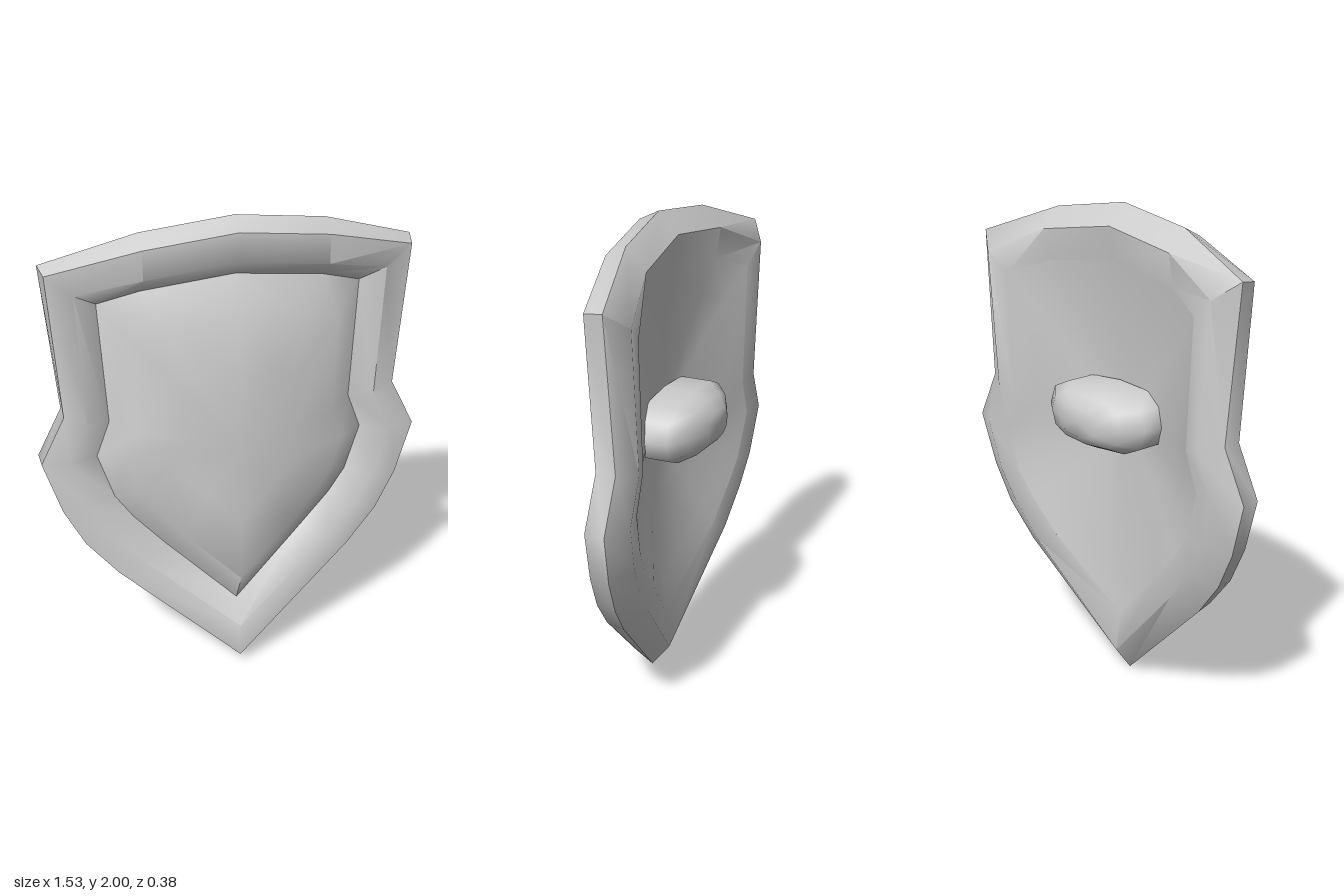
import * as THREE from 'three';
import { toCreasedNormals } from 'three/addons/utils/BufferGeometryUtils.js';

// Half outline, top centre to tip: outer x,y, inner x,y, z shift, tilt of the rim section
const HALF = [
  [0, 2.0, 0, 1.77, 0.10, 1],
  [0.35, 1.95, 0.35, 1.72, 0.07, 1],
  [0.715, 1.82, 0.51, 1.66, 0, 0.4],
  [0.665, 1.21, 0.485, 1.16, 0, 0],
  [0.765, 1.01, 0.54, 1.01, 0, 0],
  [0.70, 0.79, 0.48, 0.82, 0.015, 0.1],
  [0.62, 0.63, 0.41, 0.72, 0.03, 0.15],
  [0.50, 0.48, 0.285, 0.58, 0.05, 0.3],
  [0, 0.005, 0, 0.305, 0.14, 1],
];
const OUTLINE = [
  ...HALF,
  ...HALF.slice(1, -1).reverse().map(([ox, oy, ix, iy, z, t]) => [-ox, oy, -ix, iy, z, t]),
];

// Rim sections as [share of the way from outer to inner edge, z]
const UPRIGHT = [[0.02, 0.01], [0, -0.07], [0.5, -0.12], [0.92, -0.1], [1, -0.01], [0.5, 0.04]];
const TILTED = [[0.17, 0.04], [0, -0.04], [0.36, -0.12], [0.92, -0.1], [1, -0.04], [0.68, 0.04]];

function sectionAt([ox, oy, ix, iy, zc, tilt]) {
  const { lerp } = THREE.MathUtils;
  return UPRIGHT.map(([u0, z0], k) => {
    const u = lerp(u0, TILTED[k][0], tilt);
    return [lerp(ox, ix, u), lerp(oy, iy, u), zc + lerp(z0, TILTED[k][1], tilt)];
  });
}

// Skin between rows of points; every row is a closed loop
function skin(rows, closedRows, crease) {
  const n = rows[0].length;
  const index = [];
  const last = closedRows ? rows.length : rows.length - 1;
  for (let i = 0; i < last; i++) {
    for (let j = 0; j < n; j++) {
      const a = i * n + j;
      const b = i * n + (j + 1) % n;
      const d = ((i + 1) % rows.length) * n + j;
      const c = ((i + 1) % rows.length) * n + (j + 1) % n;
      index.push(a, d, c, a, c, b);
    }
  }
  const geometry = new THREE.BufferGeometry();
  geometry.setAttribute('position', new THREE.Float32BufferAttribute(rows.flat(2), 3));
  geometry.setIndex(index);
  return toCreasedNormals(geometry, crease);
}

export function createModel() {
  const shield = new THREE.Group();
  shield.name = 'shield';
  const grey = new THREE.MeshStandardMaterial({ color: 0xcccccc });
  grey.name = 'light grey';

  function add(name, geometry) {
    const mesh = new THREE.Mesh(geometry, grey);
    mesh.name = name;
    shield.add(mesh);
  }

  const sections = OUTLINE.map(sectionAt);
  const CY = 1.1;
  const shrink = ([x, y], s) => [x * s, CY + (y - CY) * s];

  // Thick bevelled rim
  add('rim', skin(sections, true, 0.85));

  // Domed front panel with a raised border bevel
  const frontZ = (x, y) =>
    0.187 - 0.23 * Math.abs(x) - 0.045 * Math.max(0, (y - 1.1) / 0.54) ** 2;
  const frontRows = [1, 0.8, 0.45, 0].map((s) => sections.map((section) => {
    const edge = section[4];
    const [x, y] = shrink(edge, s);
    return [x, y, s === 1 ? edge[2] : frontZ(x, y)];
  }));
  add('frontPanel', skin(frontRows, false, 1.0));

  // Hollow back panel
  const backRows = [0, 0.3, 0.55, 0.8, 1].map((s) => sections.map((section) => {
    const edge = section[3];
    const [x, y] = shrink(edge, s);
    return [x, y, THREE.MathUtils.lerp(0.06, edge[2], s ** 1.6)];
  }));
  add('backPanel', skin(backRows, false, 1.0));

  // Rounded grip on the back: half width, half height, z
  const SEGMENTS = 12;
  const round = (v) => Math.sign(v) * Math.abs(v) ** 0.75;
  const gripRows = [[0, 0, -0.19], [0.1, 0.06, -0.19], [0.2, 0.1, -0.147], [0.275, 0.127, -0.09], [0.275, 0.127, 0.04]]
    .map(([w, h, z]) => Array.from({ length: SEGMENTS }, (_, k) => {
      const a = (k / SEGMENTS) * Math.PI * 2;
      return [w * round(Math.sin(a)), 1.175 + h * round(Math.cos(a)), z];
    }));
  add('grip', skin(gripRows, false, 1.2));

  return shield;
}
